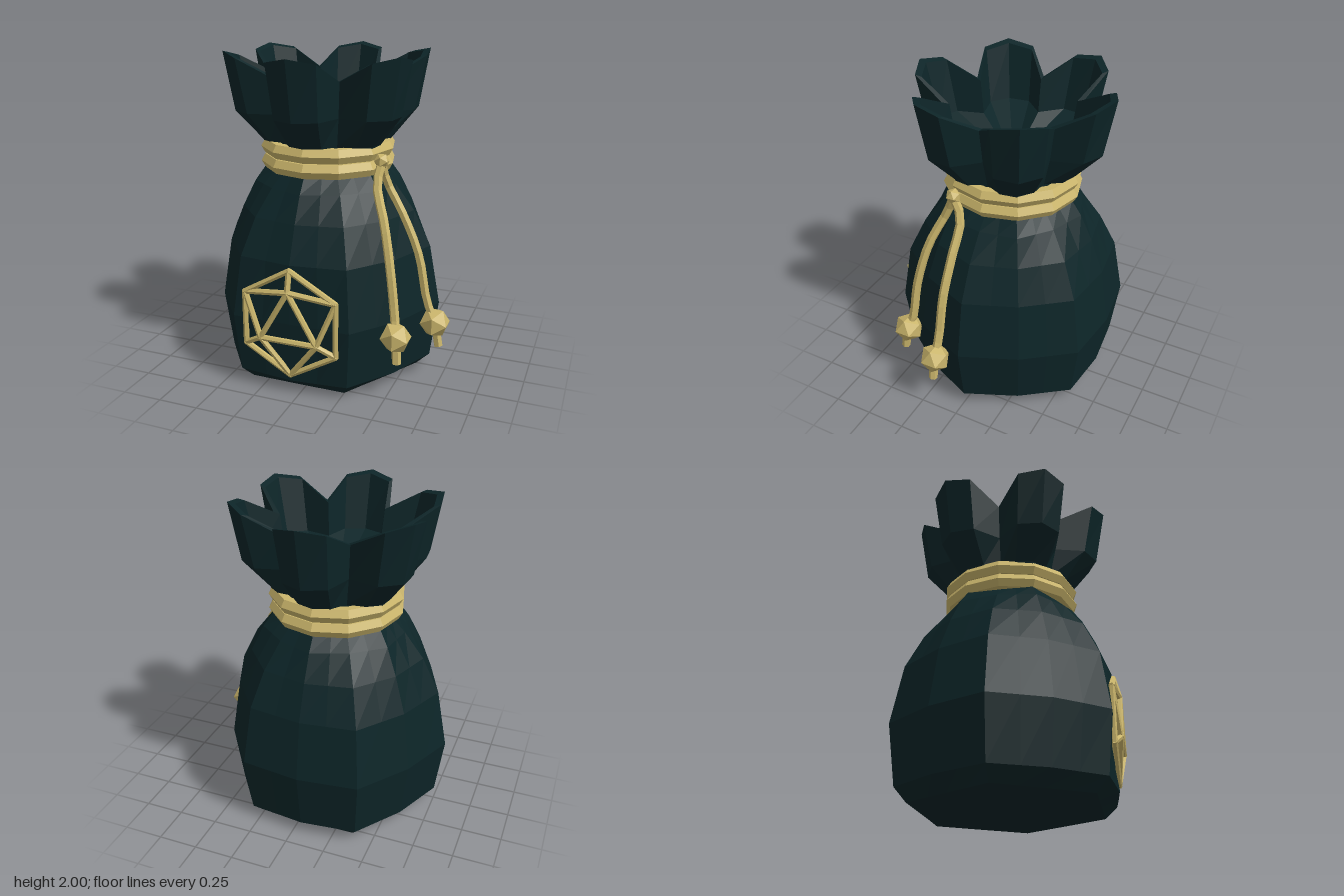
import * as THREE from 'three';

const CX = -0.055; // centre line of the bag
const V = (x, y, z) => new THREE.Vector3(x, y, z);

// Faceted copy of a geometry
function flat(g) {
  const f = g.index ? g.toNonIndexed() : g;
  f.computeVertexNormals();
  return f;
}

// Ring of 24 points repeating six times: radii and heights at 0, 15 and 30 degrees
function ring([r0, r15, r30, y0, y15 = y0, y30 = y0]) {
  const pts = [];
  for (let i = 0; i < 24; i++) {
    const k = [0, 1, 2, 1][i % 4];
    const r = [r0, r15, r30][k], y = [y0, y15, y30][k];
    const a = (i * Math.PI) / 12;
    pts.push(V(r * Math.cos(a), y, Math.min(r * Math.sin(a), y < 1 ? 0.637 : 9)));
  }
  return pts;
}

// Body ring with straight panels between the 0 and 30 degree corners
function bodyRing(y, r0, r30) {
  const c = Math.cos(Math.PI / 12), s = Math.cos(Math.PI / 6), h = Math.sin(Math.PI / 6);
  const r15 = (r0 * r30 * h) / ((r0 + r30) * Math.sin(Math.PI / 12));
  return ring([r0, s > 0 && c > 0 ? r15 : r0, r30, y]);
}

function loft(rings) {
  const pos = [];
  for (let j = 0; j < rings.length - 1; j++) {
    for (let i = 0; i < 24; i++) {
      const n = (i + 1) % 24;
      const a = rings[j][i], b = rings[j + 1][i], c = rings[j + 1][n], d = rings[j][n];
      for (const t of [[a, b, d], [b, c, d]]) {
        const area = t[1].clone().sub(t[0]).cross(t[2].clone().sub(t[0])).length();
        if (area > 1e-7) t.forEach((p) => pos.push(p.x, p.y, p.z));
      }
    }
  }
  const g = new THREE.BufferGeometry();
  g.setAttribute('position', new THREE.Float32BufferAttribute(pos, 3));
  return flat(g);
}

export function createModel() {
  const model = new THREE.Group();
  model.name = 'drawstringBag';
  const cloth = new THREE.MeshStandardMaterial({ color: 0x0d2528 });
  cloth.name = 'dark teal cloth';
  const gold = new THREE.MeshStandardMaterial({ color: 0xcbb66c });
  gold.name = 'gold';

  function add(name, geometry, material, parent = model) {
    const m = new THREE.Mesh(geometry, material);
    m.name = name;
    parent.add(m);
    return m;
  }

  // Bag: base, belly, neck, flared ruffle, rim and hollow inside
  const bag = loft([
    ring([0, 0, 0, 0]),
    bodyRing(0, 0.61, 0.53),
    bodyRing(0.08, 0.695, 0.64),
    bodyRing(0.45, 0.745, 0.69),
    bodyRing(0.82, 0.675, 0.63),
    bodyRing(1.04, 0.565, 0.545),
    bodyRing(1.2, 0.44, 0.465),
    bodyRing(1.29, 0.35, 0.4),
    ring([0.33, 0.36, 0.38, 1.37]),
    ring([0.33, 0.39, 0.41, 1.46]),
    ring([0.38, 0.53, 0.575, 1.64]),
    ring([0.415, 0.595, 0.64, 1.855, 1.97, 2]),
    ring([0.375, 0.555, 0.595, 1.85, 1.96, 1.985]),
    ring([0.345, 0.48, 0.515, 1.64]),
    ring([0, 0, 0, 1.46]),
  ]);
  add('bag', bag, cloth).position.x = CX;

  // Two cord loops around the neck
  for (const y of [1.327, 1.419]) {
    const g = new THREE.TorusGeometry(0.385, 0.05, 6, 12);
    g.rotateX(Math.PI / 2);
    g.scale(0.97, 1, 1);
    add('neckCord', flat(g), gold).position.set(CX, y, 0);
  }

  // Knot and the two hanging cords with beads
  add('knot', new THREE.IcosahedronGeometry(0.048, 0), gold).position.set(0.355, 1.38, 0.187);
  const cords = [
    { bead: [0.705, 0.385, 0.16], path: [[0.355, 1.37, 0.187], [0.37, 1.25, 0.135], [0.49, 1.03, 0.137],
      [0.59, 0.8, 0.148], [0.65, 0.52, 0.158], [0.705, 0.385, 0.162], [0.735, 0.235, 0.165]] },
    { bead: [0.545, 0.39, 0.46], path: [[0.355, 1.37, 0.187], [0.345, 1.25, 0.24], [0.425, 1.03, 0.335],
      [0.49, 0.75, 0.4], [0.53, 0.48, 0.43], [0.55, 0.38, 0.465], [0.562, 0.235, 0.485]] },
  ];
  for (const { bead, path } of cords) {
    const cord = new THREE.Group();
    cord.name = 'hangingCord';
    model.add(cord);
    const curve = new THREE.CatmullRomCurve3(path.map((p) => V(...p)));
    add('cord', flat(new THREE.TubeGeometry(curve, 14, 0.028, 6)), gold, cord);
    const tip = add('cordTip', new THREE.CircleGeometry(0.028, 6), gold, cord);
    tip.position.copy(curve.getPoint(1));
    tip.rotation.x = Math.PI / 2;
    add('bead', new THREE.IcosahedronGeometry(0.097, 0), gold, cord).position.set(...bead);
  }

  // Front emblem: wireframe twenty-sided die
  const emblem = new THREE.Group();
  emblem.name = 'dieEmblem';
  emblem.position.set(CX, 0.455, 0);
  model.add(emblem);
  const corner = (deg, r, z) => {
    const a = (deg * Math.PI) / 180;
    return V(r * Math.cos(a), r * Math.sin(a), z);
  };
  const hex = [0, 1, 2, 3, 4, 5].map((i) => corner(90 + 60 * i, 0.335, 0.637));
  const tri = [0, 1, 2].map((i) => corner(90 + 120 * i, 0.208, 0.668));
  const bar = (a, b) => {
    const g = new THREE.CylinderGeometry(0.018, 0.018, a.distanceTo(b) + 0.012, 6);
    const m = add('emblemBar', flat(g), gold, emblem);
    m.position.copy(a).lerp(b, 0.5);
    m.quaternion.setFromUnitVectors(V(0, 1, 0), b.clone().sub(a).normalize());
  };
  for (let i = 0; i < 6; i++) bar(hex[i], hex[(i + 1) % 6]);
  for (let i = 0; i < 3; i++) {
    bar(tri[i], tri[(i + 1) % 3]);
    for (const k of [-1, 0, 1]) bar(tri[i], hex[(2 * i + k + 6) % 6]);
  }

  return model;
}
